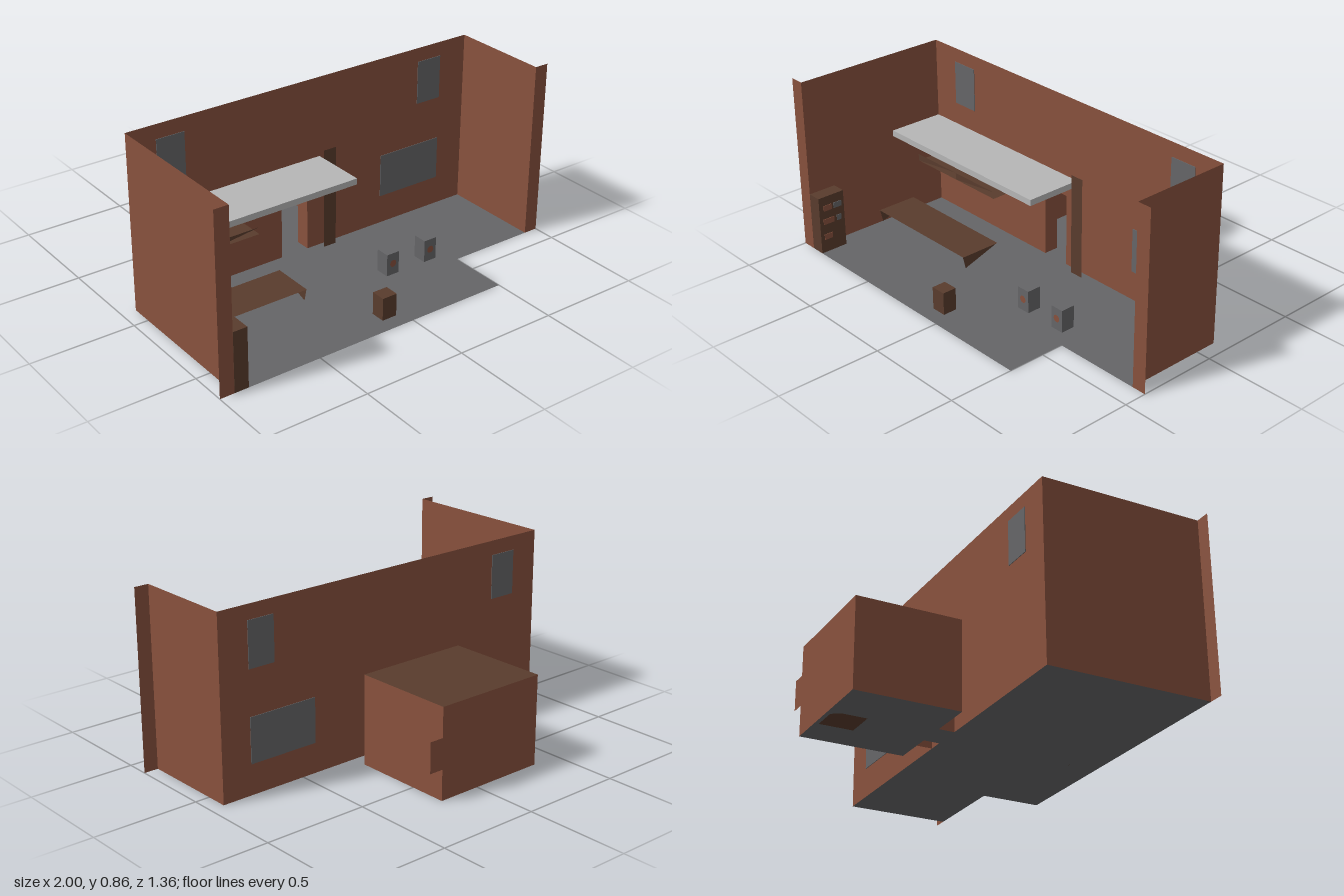
import * as THREE from 'three';

const flat = (name, color) => {
  const m = new THREE.MeshStandardMaterial({ color, side: THREE.DoubleSide });
  m.name = name;
  return m;
};

export function createModel() {
  const group = new THREE.Group();
  const brick = flat('brick', 0x88513d);
  const wood = flat('dark wood', 0x593c2d);
  const grey = flat('stone grey', 0x656567);
  const pale = flat('pale grey', 0xb6b6b6);

  const add = (name, geometry, material) => {
    const mesh = new THREE.Mesh(geometry, material);
    mesh.name = name;
    group.add(mesh);
    return mesh;
  };
  // Solid box given by its limits
  const box = (name, mat, x0, x1, y0, y1, z0, z1) =>
    add(name, new THREE.BoxGeometry(x1 - x0, y1 - y0, z1 - z0), mat)
      .position.set((x0 + x1) / 2, (y0 + y1) / 2, (z0 + z1) / 2);
  // Thin sheets cut from a 2D outline: facing z (x, y), facing x (z, y), facing y (x, z)
  const outline = (pts) => new THREE.ShapeGeometry(new THREE.Shape(pts.map(([a, b]) => new THREE.Vector2(a, b))));
  const rect = (a0, a1, b0, b1) => [[a0, b0], [a1, b0], [a1, b1], [a0, b1]];
  const sheetZ = (name, mat, z, pts) => add(name, outline(pts).translate(0, 0, z), mat);
  const sheetX = (name, mat, x, pts) =>
    add(name, outline(pts.map(([z, y]) => [-z, y])).rotateY(Math.PI / 2).translate(x, 0, 0), mat);
  const sheetY = (name, mat, y, pts) =>
    add(name, outline(pts.map(([x, z]) => [x, -z])).rotateX(-Math.PI / 2).translate(0, y, 0), mat);
  // Wall outline with a doorway cut from its lower edge
  const doorway = (x0, x1, h) =>
    [[x0, 0], [-0.145, 0], [-0.145, 0.36], [0, 0.36], [0, 0], [x1, 0], [x1, h], [x0, h]];

  // Main hall floor and walls
  sheetY('hallFloor', grey, 0, [[-0.93, -0.105], [0.93, -0.105], [0.93, 0.39], [0.5, 0.39], [0.5, 0.68], [-0.93, 0.68]]);
  sheetZ('backWall', brick, -0.105, doorway(-0.93, 0.93, 0.86));
  sheetX('rightSideWall', brick, -0.93, rect(-0.105, 0.68, 0, 0.86));
  sheetX('leftSideWall', brick, 0.93, rect(-0.105, 0.39, 0, 0.86));
  sheetZ('rightWallReturn', brick, 0.68, rect(-1, -0.93, 0, 0.86));
  sheetZ('leftWallReturn', brick, 0.39, rect(0.93, 1, 0, 0.86));

  // Windows, visible on both faces of the wall
  for (const [x0, x1, y0, y1] of [[-0.785, -0.645, 0.575, 0.79], [0.645, 0.78, 0.575, 0.79], [0.43, 0.78, 0.145, 0.36]])
    box('window', grey, x0, x1, y0, y1, -0.108, -0.102);

  // Passage to the back room
  sheetY('passageFloor', grey, 0, rect(-0.145, 0, -0.18, -0.105));
  sheetY('passageRoof', brick, 0.36, rect(-0.145, 0.07, -0.18, -0.105));
  for (const x of [-0.145, 0, 0.07]) sheetX('passageWall', brick, x, rect(-0.18, -0.105, 0, 0.36));

  // Back room
  sheetY('roomFloor', grey, 0, rect(-0.36, 0.21, -0.68, -0.18));
  sheetY('roomRoof', wood, 0.43, rect(-0.36, 0.21, -0.68, -0.18));
  sheetZ('roomFrontWall', brick, -0.18, doorway(-0.36, 0.21, 0.43));
  sheetZ('roomBackWall', brick, -0.68, rect(-0.36, 0.21, 0, 0.43));
  for (const x of [-0.36, 0.21]) sheetX('roomSideWall', brick, x, rect(-0.68, -0.18, 0, 0.43));
  sheetZ('roomSideFlap', brick, -0.68, rect(0.21, 0.28, 0.145, 0.29));
  box('roomCabinet', wood, -0.11, 0.04, 0, 0.29, -0.66, -0.5);

  // Balcony and its ladder
  box('balcony', pale, -0.929, 0.07, 0.435, 0.465, -0.104, 0.18);
  sheetZ('ladder', wood, -0.07, rect(0.07, 0.14, 0, 0.505));

  // Wall shelf with two wedge-shaped trims
  sheetY('shelf', wood, 0.255, rect(-0.929, -0.36, -0.104, 0.03));
  for (const x of [-0.929, -0.64])
    sheetZ('shelfWedge', wood, 0.03, [[x, 0.255], [x + 0.28, 0.29], [x, 0.29]]);

  // Low bench with triangular end supports
  sheetY('benchSeat', wood, 0.065, rect(-0.929, -0.285, 0.075, 0.285));
  for (const x of [-0.925, -0.287])
    sheetX('benchSupport', wood, x, [[0.075, 0.065], [0.285, 0.065], [0.27, 0.002]]);

  // Cabinet by the side wall, with small goods on its inner face
  box('cabinet', wood, -0.929, -0.86, 0, 0.29, 0.54, 0.68);
  for (const [y, mat, z0, z1] of [[0.23, grey, 0.555, 0.6], [0.23, brick, 0.61, 0.655],
    [0.16, grey, 0.56, 0.585], [0.16, brick, 0.6, 0.66], [0.08, brick, 0.615, 0.66]])
    box('cabinetGoods', mat, -0.861, -0.857, y - 0.014, y + 0.014, z0, z1);

  // Stool and two stone blocks with round spots
  box('stool', wood, -0.11, -0.035, 0, 0.11, 0.535, 0.605);
  for (const x of [0.14, 0.36]) {
    box('block', grey, x, x + 0.068, 0, 0.11, 0.25, 0.32);
    add('blockSpot', new THREE.CircleGeometry(0.018, 12), brick).position.set(x + 0.034, 0.058, 0.322);
  }
  return group;
}
